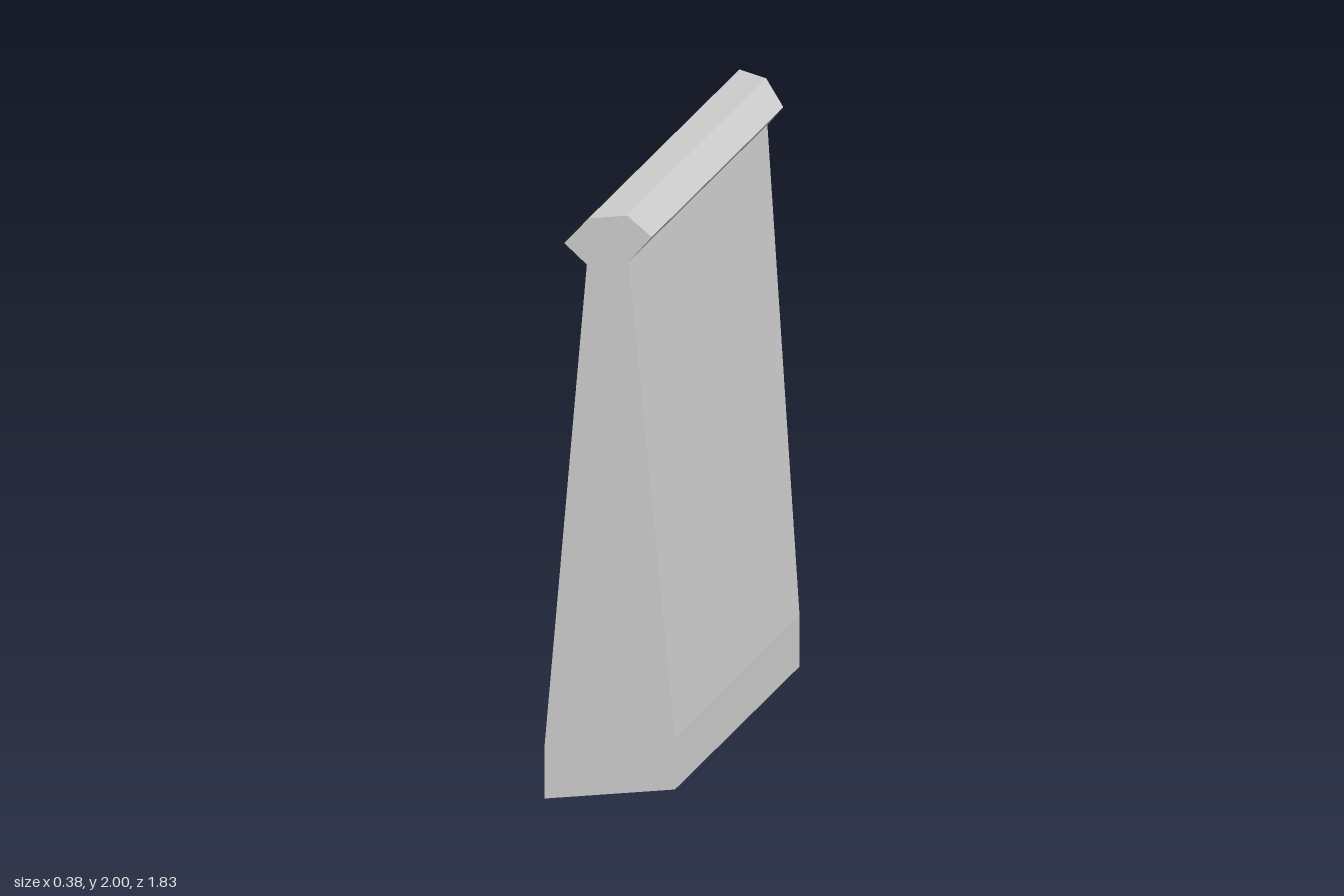
import * as THREE from 'three';

// Half of the wall length at a given x: both ends are mitred at 30 degrees.
const halfLength = (x) => 0.802 - 0.577 * x;

// Cross-section from the foot on +x, over the coping, to the foot on -x.
const profile = [
  [0.19, 0], [0.19, 0.18], [0.055, 1.84], [0.122, 1.92], [0.05, 2],
  [-0.063, 2], [-0.134, 1.92], [-0.068, 1.84], [-0.192, 0.18], [-0.192, 0],
];

export function createModel() {
  const group = new THREE.Group();
  group.name = 'mitredWallSegment';
  const material = new THREE.MeshStandardMaterial({
    color: 0xcccccc, flatShading: true, side: THREE.DoubleSide,
  });

  const add = (name, geometry) => {
    const mesh = new THREE.Mesh(geometry, material);
    mesh.name = name;
    group.add(mesh);
  };

  // Long faces between profile points first..last; the underside stays open.
  const strip = (name, first, last) => {
    const positions = [];
    for (let i = first; i < last; i++) {
      const [ax, ay] = profile[i];
      const [bx, by] = profile[i + 1];
      const a = halfLength(ax), b = halfLength(bx);
      positions.push(ax, ay, a, ax, ay, -a, bx, by, -b);
      positions.push(ax, ay, a, bx, by, -b, bx, by, b);
    }
    const geometry = new THREE.BufferGeometry();
    geometry.setAttribute('position', new THREE.Float32BufferAttribute(positions, 3));
    geometry.computeVertexNormals();
    add(name, geometry);
  };
  strip('leftWallFace', 0, 2);
  strip('coping', 2, 7);
  strip('rightWallFace', 7, 9);

  // Mitred ends: the profile outline slanted along x.
  const outline = new THREE.Shape(profile.map(([x, y]) => new THREE.Vector2(x, y)));
  for (const side of [1, -1]) {
    const geometry = new THREE.ShapeGeometry(outline);
    const position = geometry.attributes.position;
    for (let i = 0; i < position.count; i++) {
      position.setZ(i, side * halfLength(position.getX(i)));
    }
    // Reverse the winding so the back end faces outward.
    if (side < 0) geometry.index.array.reverse();
    geometry.computeVertexNormals();
    add(side > 0 ? 'frontEnd' : 'backEnd', geometry);
  }

  return group;
}
